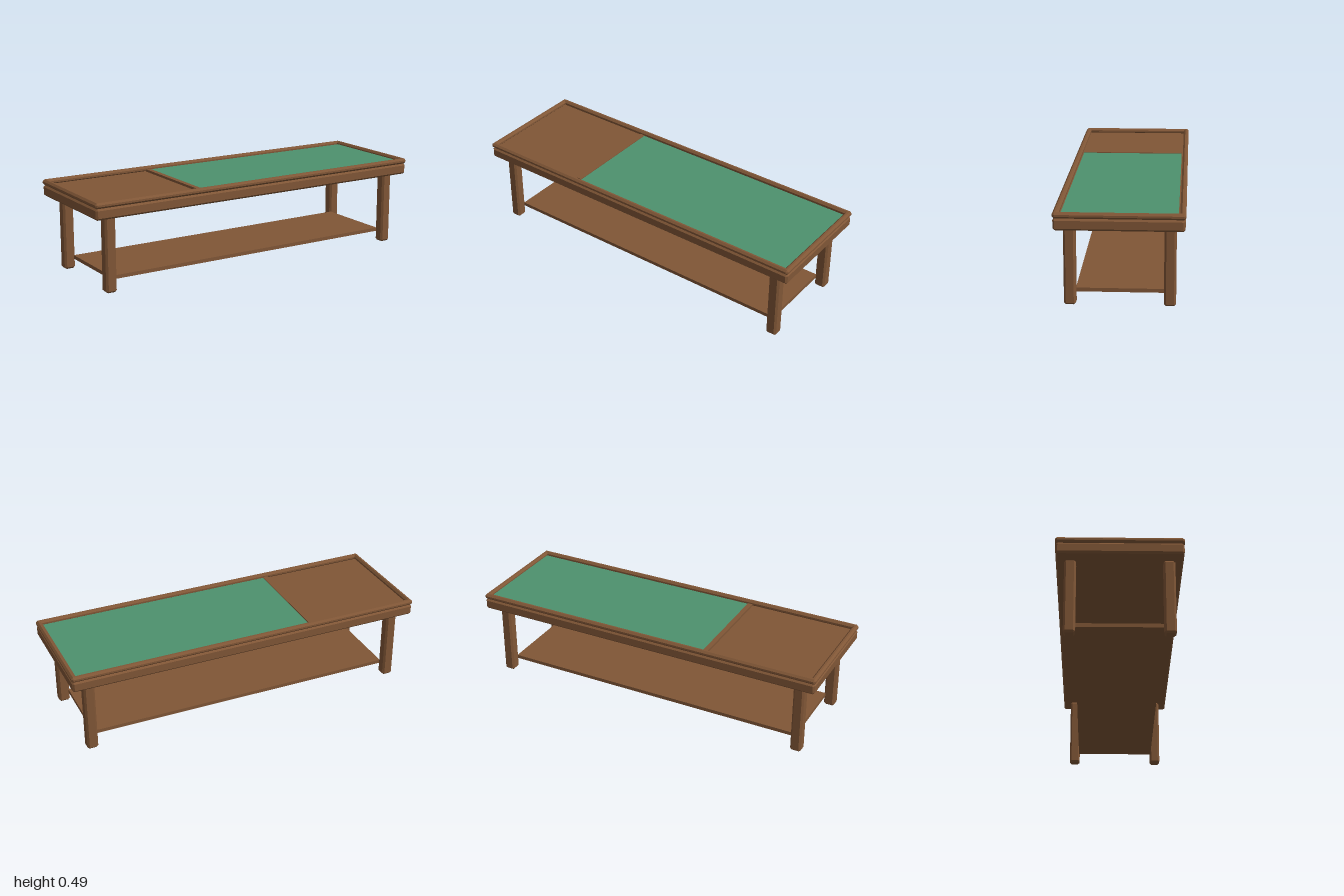
import * as THREE from 'three';
import { ConvexGeometry } from 'three/addons/geometries/ConvexGeometry.js';

const wood = new THREE.MeshStandardMaterial({ color: 0x805636 });
wood.name = 'brown wood';
const felt = new THREE.MeshStandardMaterial({ color: 0x4e916e });
felt.name = 'green felt';

// Box with every edge cut at 45 degrees by c
function chamferedBox(w, h, d, c) {
  const points = [];
  for (const sx of [-1, 1]) for (const sy of [-1, 1]) for (const sz of [-1, 1]) {
    const x = w / 2, y = h / 2, z = d / 2;
    points.push(
      new THREE.Vector3(sx * x, sy * (y - c), sz * (z - c)),
      new THREE.Vector3(sx * (x - c), sy * y, sz * (z - c)),
      new THREE.Vector3(sx * (x - c), sy * (y - c), sz * z));
  }
  return new ConvexGeometry(points);
}

export function createModel() {
  const table = new THREE.Group();
  table.name = 'table';

  // Adds a box between two heights, chamfered when c > 0
  const add = (name, x, z, w, d, y0, y1, c = 0, material = wood) => {
    const h = y1 - y0;
    const geometry = c ? chamferedBox(w, h, d, c) : new THREE.BoxGeometry(w, h, d);
    const mesh = new THREE.Mesh(geometry, material);
    mesh.name = name;
    mesh.position.set(x, (y0 + y1) / 2, z);
    table.add(mesh);
  };

  // Thick table body
  add('body', 0, 0, 1.994, 0.642, 0.403, 0.463, 0.01);

  // Raised rim around the top
  for (const s of [-1, 1]) {
    add(s > 0 ? 'frontRim' : 'backRim', 0, s * 0.309, 2, 0.03, 0.463, 0.493, 0.01);
    add(s > 0 ? 'leftRim' : 'rightRim', s * 0.985, 0, 0.03, 0.648, 0.463, 0.493, 0.01);
  }

  // Sunken wooden panel, felt playing surface and the bar between them
  add('topPanel', 0, 0, 1.95, 0.594, 0.455, 0.468);
  add('feltSurface', 0.305, 0, 1.33, 0.574, 0.468, 0.477, 0, felt);
  add('divider', -0.372, 0, 0.026, 0.574, 0.465, 0.481);

  // Four legs
  for (const sx of [-1, 1]) for (const sz of [-1, 1]) {
    add(`${sz > 0 ? 'front' : 'back'}${sx > 0 ? 'Left' : 'Right'}Leg`,
      sx * 0.898, sz * 0.248, 0.06, 0.06, 0, 0.403, 0.01);
  }

  // Low shelf between the legs
  add('shelf', 0, 0, 1.75, 0.444, 0.053, 0.073);

  return table;
}
